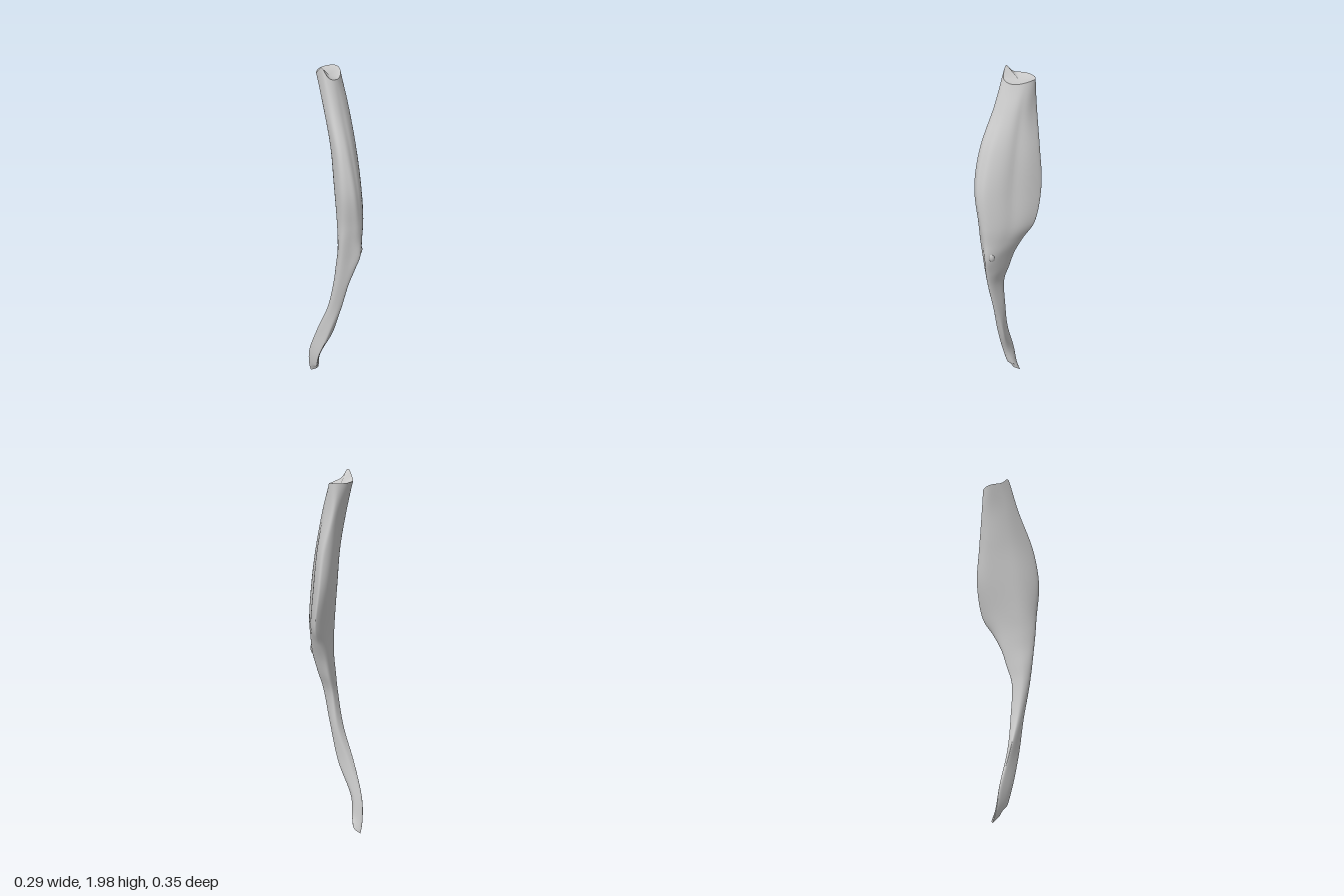
import * as THREE from 'three';

const SIDES = 64, STEPS = 110;

// Each row: height, then the reach of the cross-section in eight directions,
// turning by 45 degrees from +x through +z.
const SECTIONS = [
  [1.95, .08, .016, 0, .03, .065, .105, .125, .12],
  [1.8, .085, .05, .05, .085, .09, .08, .09, .127],
  [1.6, .12, .085, .13, .165, .125, .053, .07, .127],
  [1.4, .135, .105, .18, .2, .14, .04, .05, .13],
  [1.2, .12, .115, .185, .185, .127, .025, .01, .10],
  [1.1, .07, .105, .18, .175, .125, .02, -.01, .05],
  [1.0, .025, .09, .178, .165, .12, .02, -.02, .005],
  [.9, -.005, .065, .15, .155, .115, .03, -.025, -.02],
  [.8, -.035, .035, .12, .14, .11, .04, -.025, -.04],
  [.6, -.04, 0, .065, .10, .10, .07, .01, -.03],
  [.4, -.055, -.04, 0, .065, .10, .125, .08, 0],
  [.2, -.06, -.11, -.075, .02, .10, .165, .16, .05],
  [.08, -.045, -.112, -.105, -.015, .08, .165, .177, .07],
  [.03, -.03, -.115, -.12, -.03, .06, .155, .182, .085],
];

// Rounded outline touching the eight support lines of a section
function outline([y, ...reach]) {
  const h = reach.slice();
  for (let pass = 0; pass < 4; pass++) {
    for (let k = 0; k < 8; k++) {
      h[k] = Math.min(h[k], (h[(k + 7) % 8] + h[(k + 1) % 8]) / Math.SQRT2);
    }
  }
  const touch = h.map((d, k) => {
    const a = k * Math.PI / 4, c = Math.cos(a), s = Math.sin(a);
    const along = (h[(k + 1) % 8] - h[(k + 7) % 8]) / Math.SQRT2; // middle of the edge
    return new THREE.Vector3(c * d - s * along, y, s * d + c * along);
  });
  const curve = new THREE.CatmullRomCurve3(touch, true, 'catmullrom', 0.5);
  return Array.from({ length: SIDES }, (_, j) => curve.getPoint(j / SIDES));
}

const bell = (k, centre, width) => {
  const d = Math.abs(k - centre), wrapped = Math.min(d, 8 - d);
  return Math.exp(-((wrapped / width) ** 2));
};

// Rings of points from top to bottom, with grooves and uneven ends
function buildRings() {
  const outlines = SECTIONS.map(outline);
  const strands = Array.from({ length: SIDES }, (_, j) =>
    new THREE.CatmullRomCurve3(outlines.map((ring) => ring[j]), false, 'centripetal'));
  const rings = [];
  for (let i = 0; i <= STEPS; i++) {
    const ring = strands.map((s) => s.getPoint(i / STEPS));
    const centre = ring.reduce((sum, p) => sum.add(p), new THREE.Vector3()).divideScalar(SIDES);
    ring.forEach((p, j) => {
      const k = j / SIDES * 8, y = p.y;
      // Long groove at the front left, and a fainter one behind
      const belly = Math.sin(Math.PI * THREE.MathUtils.clamp((y - 1.05) / 0.92, 0, 1));
      const pull = belly * (0.2 * bell(k, 0.9, 0.35) + 0.1 * bell(k, 5.3, 0.6) + 0.06 * bell(k, 2.2, 0.25));
      p.lerp(centre, pull);
      // Peaked upper rim and slanted lower end
      const top = THREE.MathUtils.smoothstep(y, 1.8, 1.95);
      p.y += top * (0.05 * bell(k, 4, 0.6) - 0.015 * bell(k, 1.8, 1));
      p.y += (1 - THREE.MathUtils.smoothstep(y, 0.03, 0.12)) * (p.z + 0.155) * 0.9;
    });
    rings.push(ring);
  }
  return rings;
}

function geometryFrom(points, index) {
  const g = new THREE.BufferGeometry().setFromPoints(points);
  g.setIndex(index);
  g.computeVertexNormals();
  return g;
}

// End surface, dished by moving its middle
function endCap(ring, sink, facesUp) {
  const middle = ring.reduce((sum, p) => sum.add(p), new THREE.Vector3()).divideScalar(SIDES);
  middle.y += sink;
  const index = [];
  for (let j = 0; j < SIDES; j++) {
    const n = (j + 1) % SIDES;
    index.push(SIDES, ...(facesUp ? [n, j] : [j, n]));
  }
  return geometryFrom([...ring, middle], index);
}

export function createModel() {
  const group = new THREE.Group();
  const material = new THREE.MeshStandardMaterial({ color: 0xcccccc, side: THREE.DoubleSide });
  const add = (name, geometry) => {
    const mesh = new THREE.Mesh(geometry, material);
    mesh.name = name;
    group.add(mesh);
    return mesh;
  };

  // Muscle belly running down into its tendon
  const rings = buildRings(), index = [];
  for (let i = 0; i < STEPS; i++) {
    for (let j = 0; j < SIDES; j++) {
      const n = (j + 1) % SIDES;
      const a = i * SIDES + j, b = i * SIDES + n;
      index.push(a, b, a + SIDES, b, b + SIDES, a + SIDES);
    }
  }
  add('muscleAndTendon', geometryFrom(rings.flat(), index));
  add('upperEnd', endCap(rings[0], -0.02, true));
  add('lowerEnd', endCap(rings[STEPS], 0.008, false));

  // Small knob where the belly narrows
  const knob = add('frontKnob', new THREE.SphereGeometry(0.02, 20, 14));
  knob.scale.set(1, 1.5, 0.8);
  knob.position.set(-0.037, 1.02, 0.158);
  knob.rotation.x = 0.2;
  return group;
}
